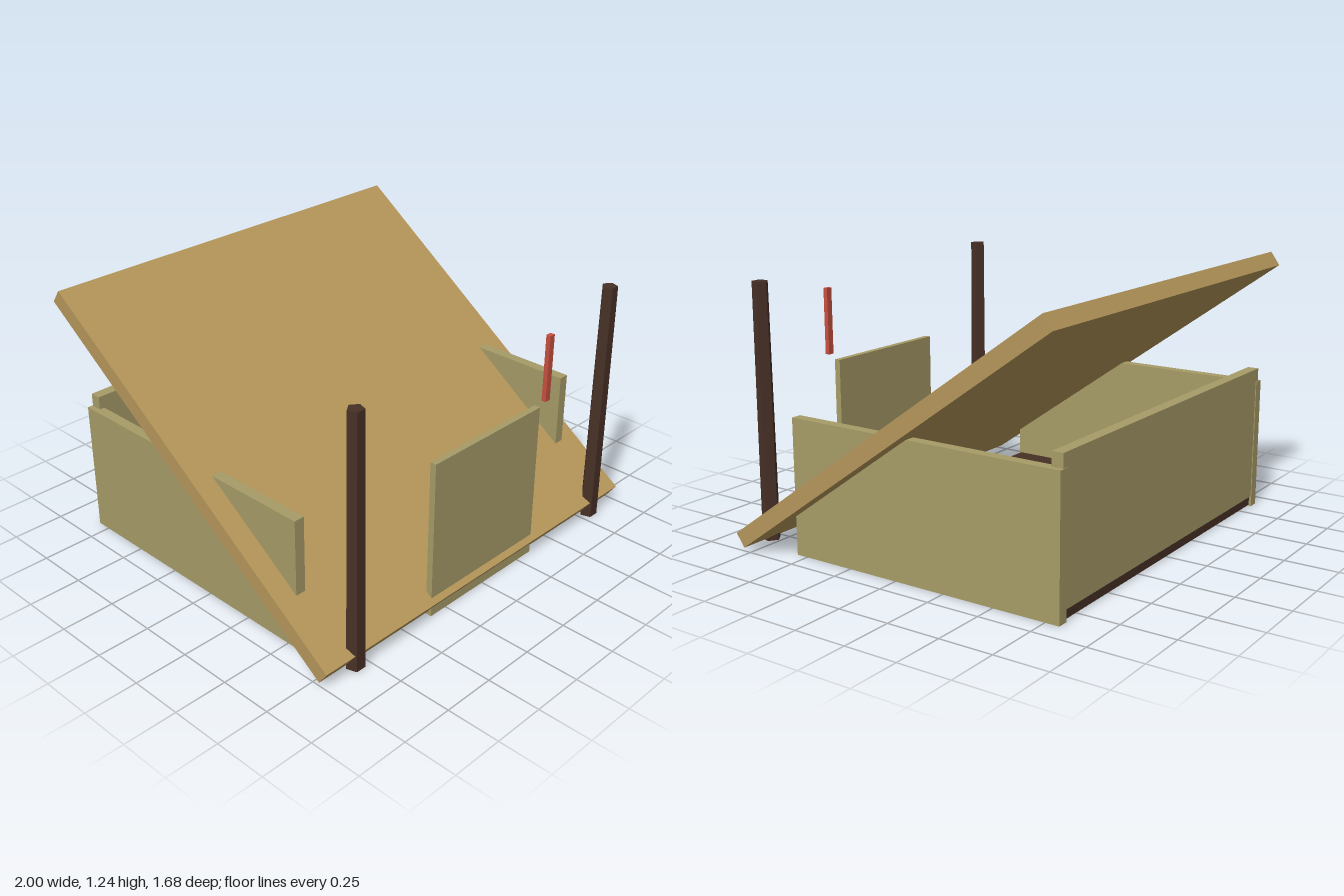
import * as THREE from 'three';

const mat = (color) => new THREE.MeshStandardMaterial({ color, flatShading: true });
const wood = mat(0xb5965a);
const board = mat(0xa69b67);
const dark = mat(0x473026);
const red = mat(0xc8503f);

export function createModel() {
  const group = new THREE.Group();

  // Box given by its min and max corners
  const box = (name, material, [x0, y0, z0], [x1, y1, z1]) => {
    const mesh = new THREE.Mesh(new THREE.BoxGeometry(x1 - x0, y1 - y0, z1 - z0), material);
    mesh.position.set((x0 + x1) / 2, (y0 + y1) / 2, (z0 + z1) / 2);
    mesh.name = name;
    group.add(mesh);
    return mesh;
  };

  // Floor and back wall
  box('floor', dark, [-0.87, 0.005, -0.805], [0.87, 0.05, 0.55]);
  box('backWall', board, [-0.875, 0.05, -0.813], [0.875, 0.69, -0.76]);

  // Side walls and five-sided front posts
  for (const [side, s] of [['left', 1], ['right', -1]]) {
    const wall = box(side + 'Wall', board, [-0.025, 0, -0.817], [0.025, 0.628, 0.557]);
    wall.position.x = s * 0.875;

    const post = new THREE.Mesh(new THREE.CylinderGeometry(0.037, 0.042, 1.19, 5), dark);
    post.rotation.y = Math.PI;
    post.position.set(s * 0.81, 0.595, 0.803);
    post.name = side + 'Post';
    group.add(post);
  }

  // Door board and handle at the front
  box('door', board, [-0.345, 0, 0.775], [0.345, 0.755, 0.805]);
  box('handle', red, [0.355, 0.785, 0.803], [0.385, 1.1, 0.825]);

  // Sloping roof slab, high at the back
  const roof = box('roof', wood, [-1, -0.0375, -1], [1, 0.0375, 1]);
  roof.position.set(0, 0.627, -0.006);
  roof.rotation.x = 0.62;

  return group;
}
